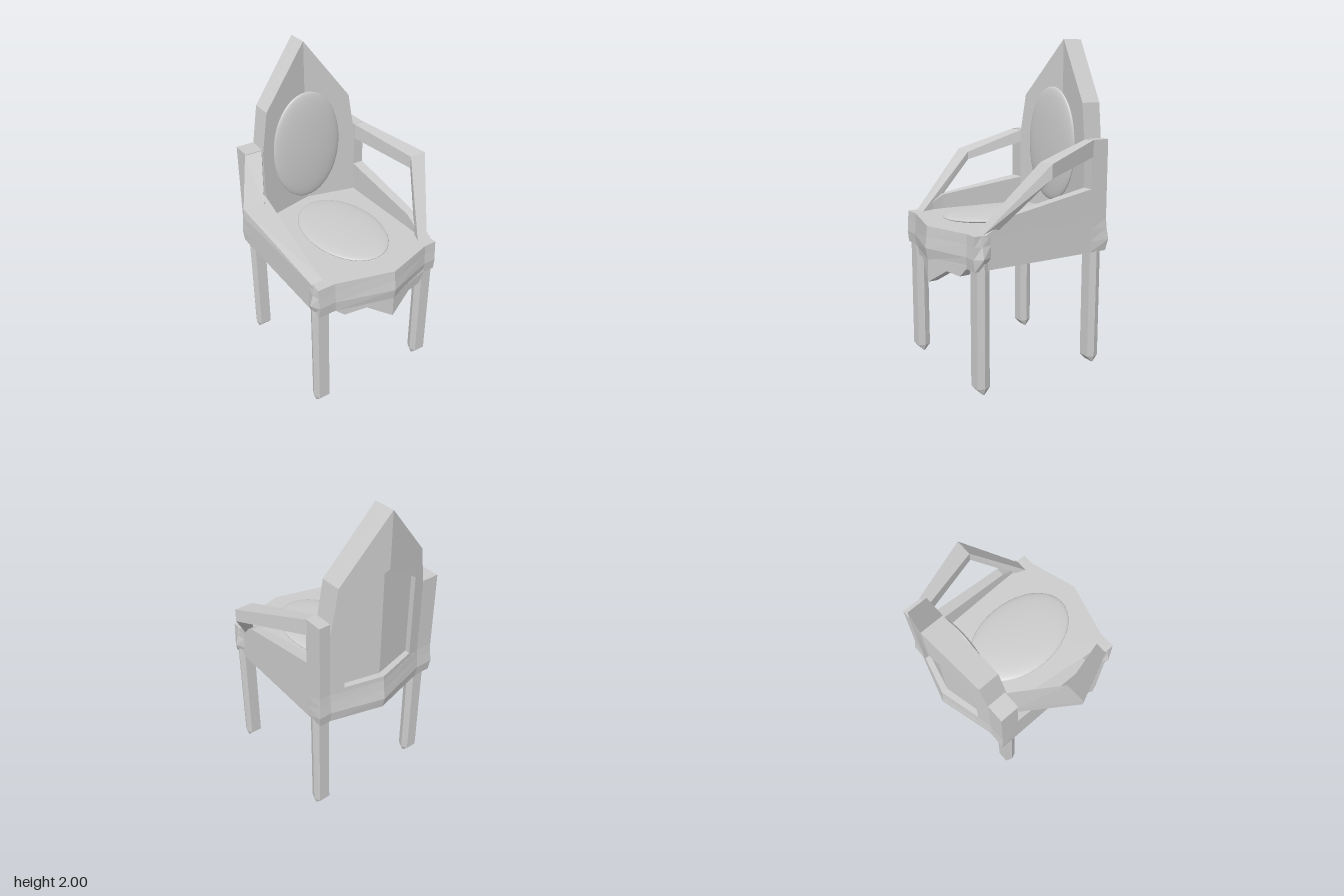
import * as THREE from 'three';

const grey = new THREE.MeshStandardMaterial({ color: 0xcccccc });
grey.name = 'pale grey';

// Closed solid through matching rings of [x, y, z] points, with faceted faces.
function loft(rings) {
  const tris = [];
  const n = rings[0].length;
  const mid = r => [0, 1, 2].map(k => r.reduce((s, p) => s + p[k], 0) / n);
  for (let j = 0; j < rings.length - 1; j++) {
    const a = rings[j], b = rings[j + 1];
    for (let i = 0; i < n; i++) {
      const k = (i + 1) % n;
      tris.push([a[i], a[k], b[k]], [a[i], b[k], b[i]]);
    }
  }
  const first = rings[0], last = rings[rings.length - 1];
  const c0 = mid(first), c1 = mid(last);
  for (let i = 0; i < n; i++) {
    const k = (i + 1) % n;
    tris.push([c0, first[k], first[i]], [c1, last[i], last[k]]);
  }
  // Turn the faces outward whichever way the rings run
  let volume = 0;
  const v = p => new THREE.Vector3(...p);
  for (const [a, b, c] of tris) volume += v(a).dot(v(b).cross(v(c)));
  if (volume < 0) tris.forEach(t => t.reverse());
  const g = new THREE.BufferGeometry();
  g.setAttribute('position', new THREE.Float32BufferAttribute(tris.flat(2), 3));
  g.computeVertexNormals();
  return g;
}

// Flat outline extruded from zBack to zFront, then folded along x = FOLD.
const FOLD = 0.04;
function folded(outline, zBack, zFront, slope) {
  const shape = new THREE.Shape(outline.map(p => new THREE.Vector2(...p)));
  const g = new THREE.ExtrudeGeometry(shape, { depth: zFront - zBack, bevelEnabled: false });
  const p = g.attributes.position;
  for (let i = 0; i < p.count; i++) {
    p.setZ(i, p.getZ(i) + zBack + slope * Math.abs(p.getX(i) - FOLD));
  }
  g.computeVertexNormals();
  return g;
}

export function createModel() {
  const chair = new THREE.Group();
  chair.name = 'armchair';
  const add = (name, geometry) => {
    const m = new THREE.Mesh(geometry, grey);
    m.name = name;
    chair.add(m);
    return m;
  };

  // Seat: plan points as [x, z, bulge x, bulge z], hollow underneath
  const plan = [
    [-0.42, -0.46, -0.005, -0.012], [-0.31, -0.46, 0, -0.012], [0.04, -0.55, 0, -0.016],
    [0.36, -0.46, 0, -0.012], [0.43, -0.46, 0.012, -0.012], [0.43, -0.34, 0, 0],
    [0.42, 0.35, 0, 0], [0.42, 0.41, 0.025, 0], [0.42, 0.455, 0, 0.008],
    [0.34, 0.455, 0, 0.008], [0.04, 0.55, 0, 0.014], [-0.31, 0.455, 0, 0.008],
    [-0.42, 0.455, 0, 0.008], [-0.42, 0.41, -0.03, 0], [-0.42, 0.35, 0, 0], [-0.42, -0.34, 0, 0],
  ];
  const seatRing = (y, bulge, scale = 1) =>
    plan.map(([x, z, bx, bz]) => [(x + bx * bulge) * scale, y, (z + bz * bulge) * scale]);
  add('seat', loft([
    seatRing(0.93, 0), seatRing(0.87, 0.35), seatRing(0.80, 1), seatRing(0.73, 0),
    seatRing(0.73, 0, 0.84), seatRing(0.83, 0, 0.84),
  ]));

  // Backrest: a pointed, folded board with a raised rim on its back
  const halves = [
    { side: 'Right', edge: [[-0.31, 0.93], [-0.31, 1.4], [-0.265, 1.65]], inner: -0.22 },
    { side: 'Left', edge: [[0.36, 0.93], [0.36, 1.35], [0.32, 1.62]], inner: 0.28 },
  ];
  for (const { side, edge, inner } of halves) {
    const outline = [[FOLD, 0.93], ...edge, [FOLD, 2]];
    add('backrest' + side, folded(outline, -0.51, -0.415, 0.24));
    add('backRim' + side, folded(
      [...outline, [FOLD, 1.67], [inner, 1.49], [inner, 0.96], [FOLD, 0.96]], -0.55, -0.51, 0.26));
  }

  // Apron hanging below the front edge
  add('apronRight', folded(
    [[FOLD, 0.75], [-0.32, 0.75], [-0.31, 0.73], [-0.25, 0.68], [-0.12, 0.7], [FOLD, 0.595]],
    0.49, 0.55, -0.29));
  add('apronLeft', folded(
    [[FOLD, 0.75], [0.34, 0.75], [0.34, 0.73], [0.29, 0.68], [0.19, 0.69], [FOLD, 0.595]],
    0.49, 0.55, -0.29));

  // Back posts, low side walls and bent arms; the two sides differ slightly
  const sides = [
    {
      name: 'right', out: -0.42, in: -0.31, wallTip: -0.37, wallTop: 1.1, top: 1.42,
      arm: [
        [[-0.42, 1.42, -0.35], [-0.31, 1.42, -0.35], [-0.31, 1.34, -0.35], [-0.42, 1.34, -0.35]],
        [[-0.61, 1.28, -0.02], [-0.48, 1.27, -0.02], [-0.48, 1.22, -0.02], [-0.61, 1.22, -0.02]],
        [[-0.42, 0.92, 0.4], [-0.34, 0.92, 0.4], [-0.36, 0.92, 0.33], [-0.42, 0.92, 0.33]],
      ],
    },
    {
      name: 'left', out: 0.43, in: 0.36, wallTip: 0.375, wallTop: 1.12, top: 1.41,
      arm: [
        [[0.43, 1.41, -0.35], [0.36, 1.41, -0.35], [0.36, 1.31, -0.35], [0.43, 1.31, -0.35]],
        [[0.61, 1.32, 0.08], [0.5, 1.32, 0.08], [0.5, 1.24, 0.08], [0.61, 1.24, 0.08]],
        [[0.4, 0.92, 0.4], [0.33, 0.92, 0.4], [0.36, 0.92, 0.33], [0.41, 0.92, 0.33]],
      ],
    },
  ];
  for (const s of sides) {
    const slab = (y, z, xi, h) => [[s.out, y, z], [xi, y, z], [xi, h, z], [s.out, h, z]];
    add(s.name + 'BackPost', loft([slab(0.92, -0.46, s.in, s.top), slab(0.92, -0.34, s.in, s.top)]));
    add(s.name + 'SideWall', loft([
      slab(0.92, -0.35, s.in, s.wallTop),
      slab(0.92, 0.23, s.wallTip, 1.02),
      slab(0.92, 0.39, s.wallTip, 0.93),
    ]));
    add(s.name + 'Arm', loft(s.arm));
  }

  // Six-sided legs with ridged feet
  const legs = [
    ['frontRightLeg', -0.38, 0.4, 0], ['frontLeftLeg', 0.38, 0.4, 0],
    ['backRightLeg', -0.365, -0.39, 0.015], ['backLeftLeg', 0.38, -0.39, 0.015],
  ];
  for (const [name, x, z, foot] of legs) {
    const section = (y, w, d) => [
      [x - w, y, z], [x - 0.036, y, z + d], [x + 0.036, y, z + d],
      [x + w, y, z], [x + 0.036, y, z - d], [x - 0.036, y, z - d],
    ];
    add(name, loft([
      section(0.8, 0.05, 0.04), section(0.72, 0.055, 0.04),
      section(foot + 0.04, 0.052, 0.04), section(foot, 0.038, 0.004),
    ]));
  }

  // Smooth oval cushions
  const cushion = (name, pos, size) => {
    const m = add(name, new THREE.SphereGeometry(1, 40, 24));
    m.position.set(...pos);
    m.scale.set(...size);
  };
  cushion('seatCushion', [0.01, 0.95, 0.05], [0.238, 0.028, 0.36]);
  cushion('backCushion', [0.01, 1.35, -0.354], [0.238, 0.36, 0.036]);

  return chair;
}
